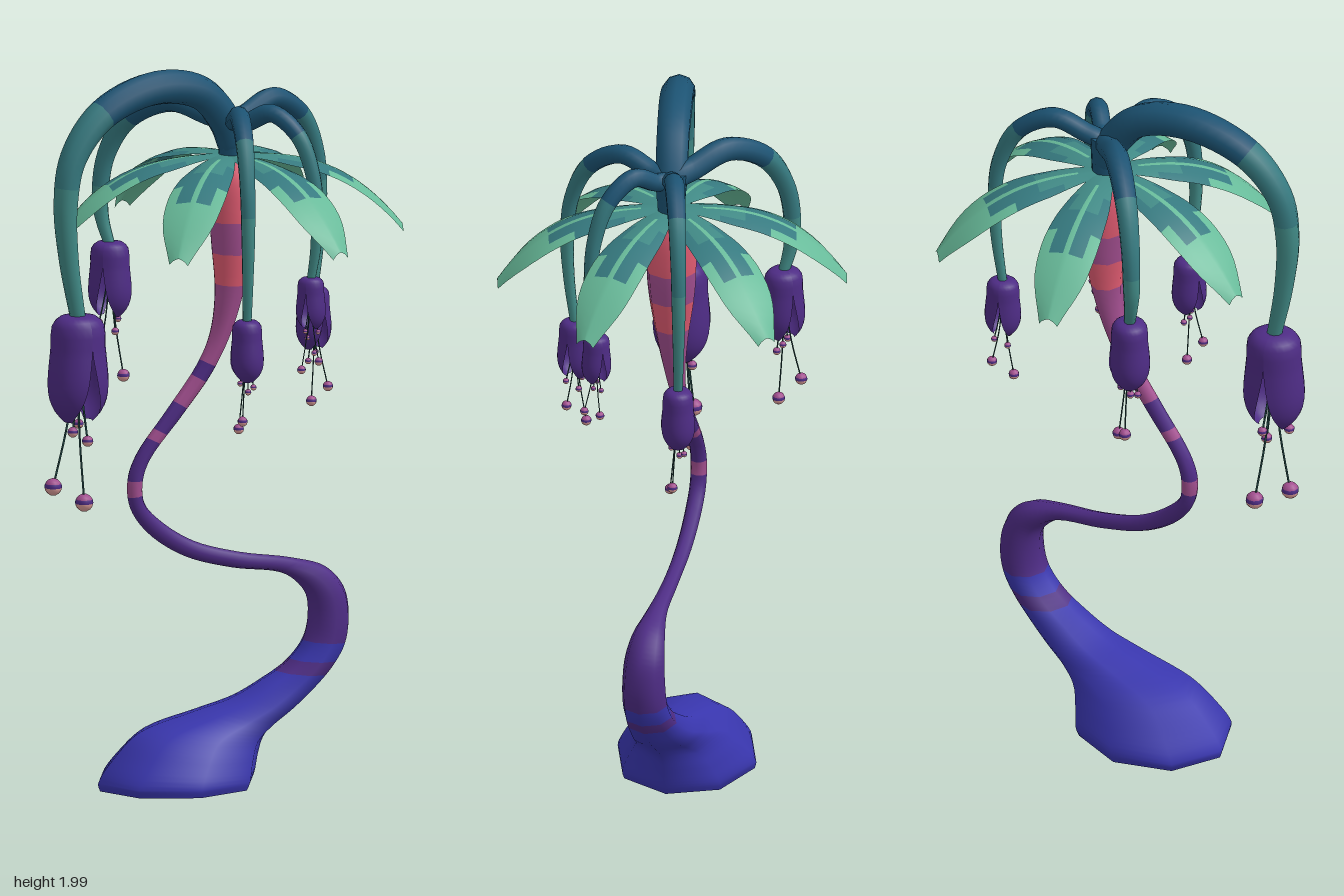
import * as THREE from 'three';

const paint = (name, color) => new THREE.MeshStandardMaterial({ name, color, side: THREE.DoubleSide });
const BLUE = paint('root blue', 0x3936ae), PURPLE = paint('purple', 0x4e2c85), MAUVE = paint('mauve', 0xa34f90),
  PINK = paint('coral pink', 0xe25c72), DEEP = paint('deep teal', 0x1c5373), MID = paint('mid teal', 0x367a80),
  TEAL = paint('soft teal', 0x418a86), GREEN = paint('mint green', 0x68bb9a), PEACH = paint('peach', 0xe0a09c),
  DARK = paint('filament green', 0x244a48);

const V = (x, y, z) => new THREE.Vector3(x, y, z);
const spline = pts => new THREE.CatmullRomCurve3(pts);
// Smooth interpolation of a list of numbers over t = 0..1.
const blend = list => {
  const curve = new THREE.CatmullRomCurve3(list.map(v => V(v, 0, 0)), false, 'catmullrom', .5);
  return t => curve.getPoint(t).x;
};

// Smooth grid surface; colorAt(i, j) picks the material of each cell.
function surface(name, rows, cols, pointAt, colorAt, closed = false) {
  const n = closed ? cols : cols + 1, pos = [], buckets = new Map();
  for (let i = 0; i <= rows; i++) for (let j = 0; j < n; j++) pos.push(...pointAt(i, j));
  for (let i = 0; i < rows; i++) for (let j = 0; j < cols; j++) {
    const m = colorAt(i, j), k = (j + 1) % n;
    const a = i * n + j, b = i * n + k, c = a + n, d = b + n;
    if (!buckets.has(m)) buckets.set(m, []);
    buckets.get(m).push(a, b, c, b, d, c);
  }
  const geo = new THREE.BufferGeometry(), index = [], mats = [];
  for (const [m, list] of buckets) {
    geo.addGroup(index.length, list.length, mats.length);
    for (const v of list) index.push(v);
    mats.push(m);
  }
  geo.setAttribute('position', new THREE.Float32BufferAttribute(pos, 3));
  geo.setIndex(index);
  geo.computeVertexNormals();
  const mesh = new THREE.Mesh(geo, mats);
  mesh.name = name;
  return mesh;
}

// Trunk sections: left edge x, y, right edge x, y, half depth.
const TRUNK = [
  [-.325, .008, .115, .008, .19], [-.33, .03, .125, .03, .195], [-.28, .1, .135, .08, .168],
  [-.21, .162, .15, .125, .135], [-.05, .21, .18, .16, .105], [.06, .24, .24, .205, .088],
  [.14, .28, .3, .255, .075], [.215, .325, .355, .315, .068], [.265, .385, .39, .375, .063],
  [.28, .45, .4, .45, .06], [.275, .51, .385, .525, .055], [.245, .55, .33, .585, .045],
  [.2, .577, .23, .616, .03], [.06, .6, .08, .642, .022], [-.08, .642, -.053, .682, .022],
  [-.185, .712, -.147, .742, .023], [-.237, .785, -.195, .795, .023], [-.245, .86, -.2, .86, .023],
  [-.22, .93, -.18, .915, .022], [-.13, 1.05, -.09, 1.025, .021], [-.045, 1.165, 0, 1.14, .022],
  [-.005, 1.25, .05, 1.235, .03], [.01, 1.36, .09, 1.355, .045], [0, 1.5, .115, 1.5, .066],
  [-.008, 1.6, .122, 1.6, .07], [-.004, 1.68, .118, 1.68, .065], [.015, 1.738, .1, 1.738, .045],
];
// Upper height of each colour band on the trunk.
const BANDS = [[.295, BLUE], [.325, PURPLE], [.37, BLUE], [.81, PURPLE], [.85, MAUVE], [.95, PURPLE], [.99, MAUVE],
  [1.05, PURPLE], [1.12, MAUVE], [1.16, PURPLE], [1.38, MAUVE], [1.47, PINK], [1.56, MAUVE], [9, PINK]];

function makeTrunk() {
  const g = new THREE.Group(), rows = 130, cols = 8;
  g.name = 'trunk';
  const left = spline(TRUNK.map(s => V(s[0], s[1], s[4]))), right = spline(TRUNK.map(s => V(s[2], s[3], s[4])));
  const rings = [];
  for (let i = 0; i <= rows; i++) {
    const a = left.getPoint(i / rows), b = right.getPoint(i / rows);
    rings.push({ x: (a.x + b.x) / 2, y: (a.y + b.y) / 2, nx: (a.x - b.x) / 2, ny: (a.y - b.y) / 2, w: a.z });
  }
  g.add(surface('windingTrunk', rows, cols, (i, j) => {
    const r = rings[i], t = j / cols * Math.PI * 2, c = Math.cos(t);
    return [r.x + c * r.nx, r.y + c * r.ny, r.w * Math.sin(t)];
  }, i => BANDS.find(b => rings[i].y < b[0])[1], true));
  const foot = new THREE.Mesh(new THREE.CircleGeometry(1, cols), BLUE);
  foot.name = 'foot';
  foot.rotation.x = Math.PI / 2;
  foot.scale.set(.22, .19, 1);
  foot.position.set(-.105, .008, 0);
  const crown = new THREE.Mesh(new THREE.CylinderGeometry(.042, .036, .13, 12), DEEP);
  crown.name = 'crown';
  crown.position.set(.06, 1.785, 0);
  g.add(foot, crown);
  return g;
}

// Broad drooping leaf with a pale midrib and pale tip.
const leafWidth = blend([.022, .045, .064, .075, .079, .068, .026]);
function makeLeaf(degrees) {
  const a = degrees * Math.PI / 180, c = Math.cos(a), s = Math.sin(a), rows = 20;
  const across = [-1, -.62, -.1, .1, .62, 1];
  return surface('leaf', rows, 5, (i, j) => {
    const t = i / rows, u = across[j], w = u * leafWidth(t), d = .015 + .46 * t;
    return [.05 + c * d - s * w, 1.745 - .203 * t ** 2.9 - .018 * u * u * Math.min(1, t * 3), s * d + c * w];
  }, (i, j) => {
    const t = i / rows, edge = j === 0 || j === 4;
    if (j === 2) return t > .1 ? GREEN : TEAL;
    if (t >= (edge ? .55 : .68)) return GREEN;
    return t >= (edge ? .25 : .4) ? MID : TEAL;
  });
}

// Hanging bloom of size s; its +x axis points away from the trunk.
function makeFlower(s) {
  const g = new THREE.Group(), rows = 16, cols = 12;
  g.name = 'flower';
  const profile = spline([[0, 0], [.58, .02], [.86, .32], [.9, 1], [.96, 1.6], [1, 2.2], [.94, 2.7], [.76, 3.1], [.48, 3.42]]
    .map(p => V(p[0], p[1], 0)));
  for (const side of [0, Math.PI]) {
    g.add(surface('petal', rows, cols, (i, j) => {
      const t = i / rows, p = profile.getPoint(t), k = Math.max(0, (t - .4) / .6);
      const a = side + (j / cols - .5) * Math.PI * (1 - .3 * k - .3 * k ** 4);
      return [s * p.x * Math.cos(a), -s * p.y, s * p.x * .93 * Math.sin(a)];
    }, () => PURPLE));
  }
  // Stamens: x, drop, z, bead radius.
  for (const [x, y, z, r] of [[.72, 5.55, .35, .28], [-.5, 6.2, .4, .29], [.4, 3.7, -.3, .17], [-.3, 4.1, -.1, .18],
    [-.25, 3.6, .35, .16]]) {
    const path = spline([V(0, -.6 * s, 0), V(x * .35 * s, -y * .6 * s, z * .5 * s), V(x * s, -y * s, z * s)]);
    const filament = new THREE.Mesh(new THREE.TubeGeometry(path, 10, .035 * s, 5), DARK);
    filament.name = 'filament';
    g.add(filament);
    for (const [from, len, mat] of [[0, .38, MAUVE], [.38, .15, PURPLE], [.53, .47, PEACH]]) {
      const bead = new THREE.Mesh(
        new THREE.SphereGeometry(r * s, 10, 4, 0, Math.PI * 2, from * Math.PI, len * Math.PI), mat);
      bead.name = 'bead';
      bead.position.set(x * s, -y * s, z * s);
      g.add(bead);
    }
  }
  return g;
}

// Arching stalk from the crown to a bloom at (x, z).
const stalkRadius = blend([.04, .045, .046, .047, .043, .037, .033, .027, .021]);
function makeBranch([x, z, top, size, peak]) {
  const g = new THREE.Group(), rows = 48, cols = 10, ox = .06;
  g.name = 'floweringBranch';
  const D = Math.hypot(x - ox, z), c = (x - ox) / D, s = z / D, k = Math.max(.55, size / .085);
  const path = spline([[0, 1.77], [.04, 1.83], [.2, peak - .03], [.5, peak], [.84, peak - .055], [1.03, peak - .165],
    [1.08, peak - .29], [1.06, (peak - .29 + top) / 2], [1, top - .01]].map(p => V(p[0] * D, p[1], 0)));
  g.add(surface('stalk', rows, cols, (i, j) => {
    const t = i / rows, p = path.getPoint(t), n = path.getTangent(t), r = stalkRadius(t) * k;
    const a = j / cols * Math.PI * 2, d = p.x - n.y * r * Math.cos(a), w = r * Math.sin(a);
    return [ox + c * d - s * w, p.y + n.x * r * Math.cos(a), s * d + c * w];
  }, i => i < rows * .5 ? DEEP : i < rows * .7 ? MID : TEAL, true));
  const flower = makeFlower(size);
  flower.position.set(x, top, z);
  flower.rotation.y = Math.atan2(-s, c);
  g.add(flower);
  return g;
}

export function createModel() {
  const model = new THREE.Group();
  model.name = 'droopingFlowerPlant';
  model.add(makeTrunk());
  for (const angle of [14.6, 71.6, 128, 187, 254, 312]) model.add(makeLeaf(angle));
  // Branches: bloom x, z, bloom top, bloom size, arch height.
  for (const b of [[-.43, .105, 1.35, .085, 1.952], [-.2, -.245, 1.475, .06, 1.88], [.335, -.095, 1.34, .05, 1.882],
    [.225, .165, 1.42, .041, 1.865], [-.01, .29, 1.34, .049, 1.875]]) model.add(makeBranch(b));
  return model;
}
